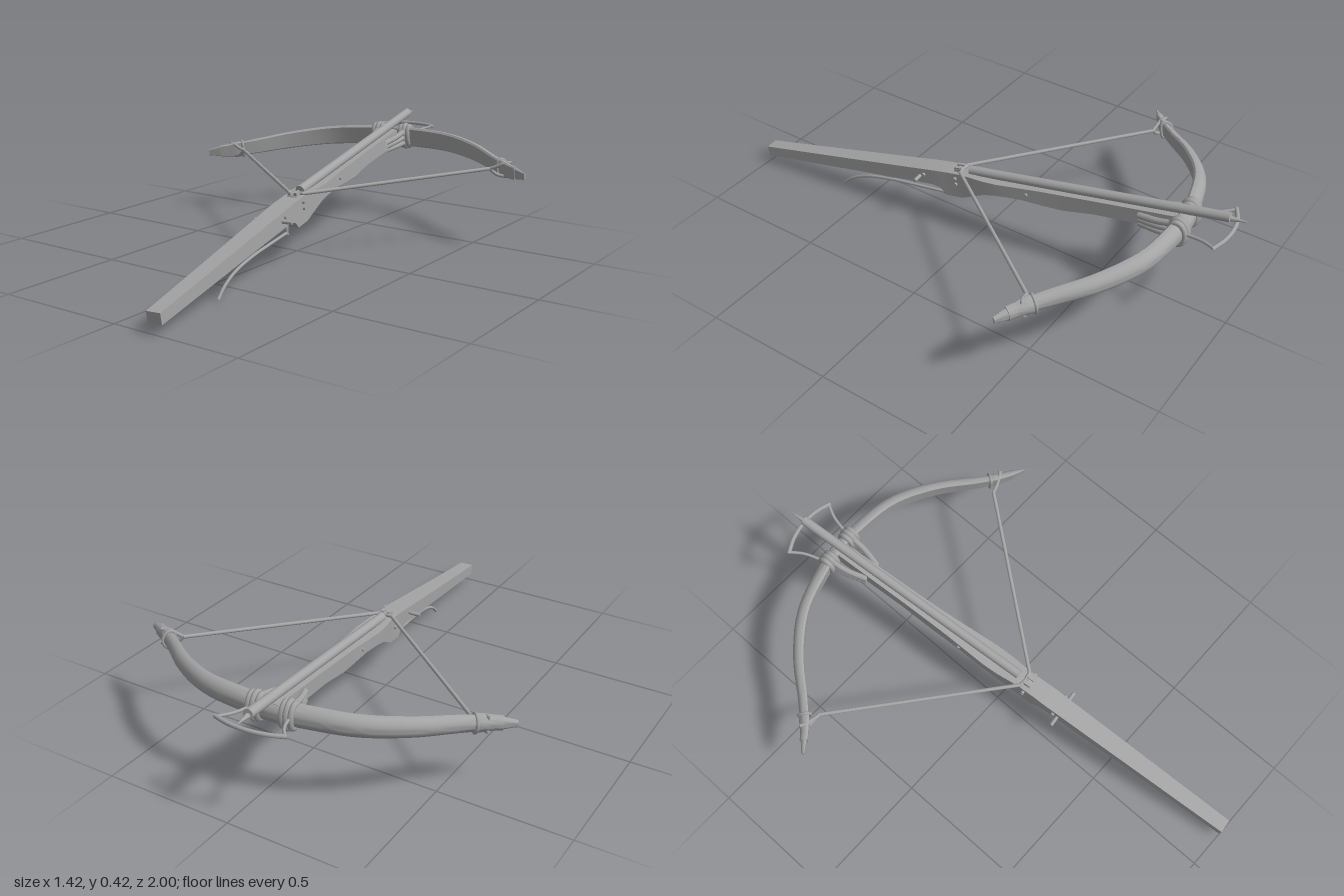
import * as THREE from 'three';
import { toCreasedNormals } from 'three/addons/utils/BufferGeometryUtils.js';

const grey = new THREE.MeshStandardMaterial({ color: 0xa4a4a4 });
grey.name = 'plain grey';
const V = (x, y, z) => new THREE.Vector3(x, y, z);

// Skin a list of equal-length rings (counter-clockwise seen from the far end), with end caps
function loft(rings, crease) {
  const n = rings[0].length, pos = rings.flat().flatMap(p => [p.x, p.y, p.z]), idx = [];
  const last = (rings.length - 1) * n;
  for (let i = 0; i < rings.length - 1; i++)
    for (let j = 0; j < n; j++) {
      const a = i * n + j, b = i * n + (j + 1) % n;
      idx.push(a, b, b + n, a, b + n, a + n);
    }
  for (let j = 1; j < n - 1; j++) {
    idx.push(0, j + 1, j);
    idx.push(last, last + j, last + j + 1);
  }
  const g = new THREE.BufferGeometry();
  g.setAttribute('position', new THREE.Float32BufferAttribute(pos, 3));
  g.setIndex(idx);
  return toCreasedNormals(g, crease);
}

function add(parent, name, geometry) {
  const m = new THREE.Mesh(geometry, grey);
  m.name = name;
  parent.add(m);
  return m;
}

const tube = (pts, r, closed = false, seg = 24) =>
  new THREE.TubeGeometry(new THREE.CatmullRomCurve3(pts, closed), seg, r, 8, closed);

// Straight round bar between two points, with optional taper
function bar(a, b, r0, r1 = r0, sides = 16) {
  const d = b.clone().sub(a);
  const g = new THREE.CylinderGeometry(r1, r0, d.length(), sides);
  g.applyQuaternion(new THREE.Quaternion().setFromUnitVectors(V(0, 1, 0), d.normalize()));
  const c = a.clone().add(b).multiplyScalar(0.5);
  return g.translate(c.x, c.y, c.z);
}

// Centre line of the right half of the bow, mirrored to the left
const half = [[0.123, -0.788], [0.28, -0.75], [0.431, -0.656], [0.549, -0.545], [0.63, -0.475], [0.714, -0.421]];
const bowCurve = new THREE.CatmullRomCurve3([
  ...half.map(([x, z]) => V(-x, 0.004, z)).reverse(), V(0, 0.002, -0.8),
  ...half.map(([x, z]) => V(x, 0.004, z))]);

// D-shaped section: flat towards the string, round towards the front
const dShape = [[0.85, 0.7], [0, 0.7], [-0.85, 0.7]];
for (let k = 0; k <= 12; k++) {
  const t = Math.PI * k / 12;
  dShape.push([-Math.cos(t), 0.4 - 1.4 * Math.sin(t)]);
}
function dRing(u, hh, ht) {
  const c = bowCurve.getPointAt(u), up = V(0, 1, 0);
  const n = bowCurve.getTangentAt(u).cross(up).normalize();
  return dShape.map(([y, w]) => c.clone().addScaledVector(up, y * hh).addScaledVector(n, w * ht));
}

function buildStock(g) {
  // distance back, top, bottom, half width
  const rows = [
    [1.015, 0.032, -0.010, 0.027], [0.6, 0.047, -0.005, 0.033], [0.21, 0.062, -0.001, 0.039],
    [0.175, 0.063, -0.010, 0.039], [0.15, 0.063, -0.040, 0.038], [0.08, 0.062, -0.040, 0.038],
    [0.04, 0.060, -0.026, 0.041], [-0.02, 0.055, -0.004, 0.046], [-0.08, 0.052, 0.003, 0.047],
    [-0.17, 0.050, 0.001, 0.042], [-0.26, 0.048, -0.012, 0.037], [-0.34, 0.045, -0.020, 0.034],
    [-0.47, 0.042, -0.014, 0.031], [-0.65, 0.038, -0.022, 0.029], [-0.815, 0.034, -0.028, 0.027]];
  add(g, 'stock', loft(rows.map(([z, t, b, w]) =>
    [V(-w, t, z), V(w, t, z), V(w, b, z), V(-w, b, z)]), 0.5));
  // cross pin and small side pins
  add(g, 'crossPin', bar(V(-0.078, 0.028, 0.26), V(0.078, 0.028, 0.26), 0.007));
  for (const [y, z] of [[0.042, 0.1], [0.018, 0.1], [0.038, 0.24], [0.025, -0.2]])
    add(g, 'sidePin', bar(V(-0.047, y, z), V(0.047, y, z), 0.007));
}

function buildBow(g) {
  const rings = [];
  for (let i = 0; i <= 48; i++) {
    const u = 0.03 + 0.94 * i / 48, e = Math.abs(u - 0.5) * 2;
    rings.push(dRing(u, 0.042 - 0.017 * e * e, 0.027 - 0.011 * e * e));
  }
  add(g, 'bow', loft(rings, 0.7));
  // leaf-shaped tip caps
  const cap = [[0.905, 0.027, 0.019], [0.915, 0.034, 0.023], [0.93, 0.033, 0.022],
    [0.955, 0.027, 0.017], [0.98, 0.019, 0.011], [1, 0.013, 0.006]];
  add(g, 'tipCap', loft(cap.map(([u, h, t]) => dRing(u, h, t)), 0.7));
  add(g, 'tipCap', loft(cap.map(([u, h, t]) => dRing(1 - u, h, t)).reverse(), 0.7));
}

function buildLashings(g, s) {
  // coils around the bow beside the stock
  for (const [x, k] of [[0.045, 0.95], [0.062, 1.05], [0.079, 0.95]]) {
    const pts = [];
    for (let i = 0; i < 16; i++) {
      const t = i / 16 * Math.PI * 2;
      pts.push(V(s * x, 0.003 + 0.045 * k * Math.cos(t), -0.797 + 0.029 * k * Math.sin(t)));
    }
    add(g, 'bowCoil', tube(pts, 0.011, true, 32));
  }
  // strands running back along the stock
  for (const y of [0.024, 0.004, -0.016])
    add(g, 'lashingStrand', tube([V(s * 0.062, y * 1.3, -0.79), V(s * 0.055, y, -0.72), V(s * 0.034, y * 0.8, -0.64)], 0.012, false, 12));
}

function buildString(g, s) {
  const end = V(s * 0.56, 0.01, -0.462);
  add(g, 'string', bar(V(0, 0.067, 0.082), V(s * 0.03, 0.067, 0.078), 0.007));
  add(g, 'string', bar(V(s * 0.028, 0.067, 0.08), end, 0.007));
  // loop over the limb near the tip
  for (const y of [0.03, -0.022])
    add(g, 'stringLoop', tube([end, V(s * 0.585, y * 0.6, -0.467), V(s * 0.615, y, -0.476),
      V(s * 0.64, y, -0.49)], 0.007, false, 12));
  const u = s > 0 ? 0.912 : 0.088;
  const ring = dRing(u, 0.034, 0.024).filter((p, i) => i % 2 === 0);
  add(g, 'loopRing', tube(ring, 0.006, true, 32));
}

export function createModel() {
  const root = new THREE.Group();
  root.name = 'crossbow';
  const g = new THREE.Group();
  g.name = 'tiltedBody';
  root.add(g);

  buildStock(g);
  buildBow(g);
  for (const s of [-1, 1]) {
    buildLashings(g, s);
    buildString(g, s);
  }

  // bolt with its spike
  add(g, 'boltShaft', bar(V(0, 0.066, 0.05), V(0, 0.053, -0.962), 0.018, 0.018, 24));
  add(g, 'boltSpike', bar(V(0, 0.048, -0.955), V(0, 0.044, -1.022), 0.011, 0.001));

  // nut with two claws
  add(g, 'nut', bar(V(-0.02, 0.052, 0.095), V(0.02, 0.052, 0.095), 0.022));
  for (const s of [-1, 1])
    add(g, 'nutClaw', new THREE.BoxGeometry(0.012, 0.022, 0.03).translate(s * 0.013, 0.068, 0.095));

  // trigger lever
  add(g, 'triggerLever', tube([V(0, -0.054, 0.175), V(0, -0.046, 0.3), V(0, -0.040, 0.424),
    V(0, -0.046, 0.548), V(0, -0.068, 0.623), V(0, -0.094, 0.666)], 0.006, false, 40));
  add(g, 'triggerPost', bar(V(0, -0.06, 0.178), V(0, 0.01, 0.172), 0.007));

  // stirrup: two curved arms and a bowed foot bar
  for (const s of [-1, 1])
    add(g, 'stirrupArm', tube([V(s * 0.07, 0.003, -0.78), V(s * 0.078, 0.003, -0.84),
      V(s * 0.095, 0.003, -0.895), V(s * 0.126, 0.003, -0.946)], 0.006));
  add(g, 'stirrupBar', tube([V(-0.13, 0.003, -0.94), V(-0.07, 0.003, -0.963), V(0, 0.003, -0.972),
    V(0.07, 0.003, -0.963), V(0.13, 0.003, -0.94)], 0.008));

  // lean the whole weapon: butt low at the back, nose raised
  const z = V(0.12, -0.16, 1).normalize();
  const x = V(1, 0.034, -0.115).normalize();
  const y = z.clone().cross(x).normalize();
  x.crossVectors(y, z);
  g.applyMatrix4(new THREE.Matrix4().makeBasis(x, y, z).setPosition(0.05, 0.2, 0));
  return root;
}
